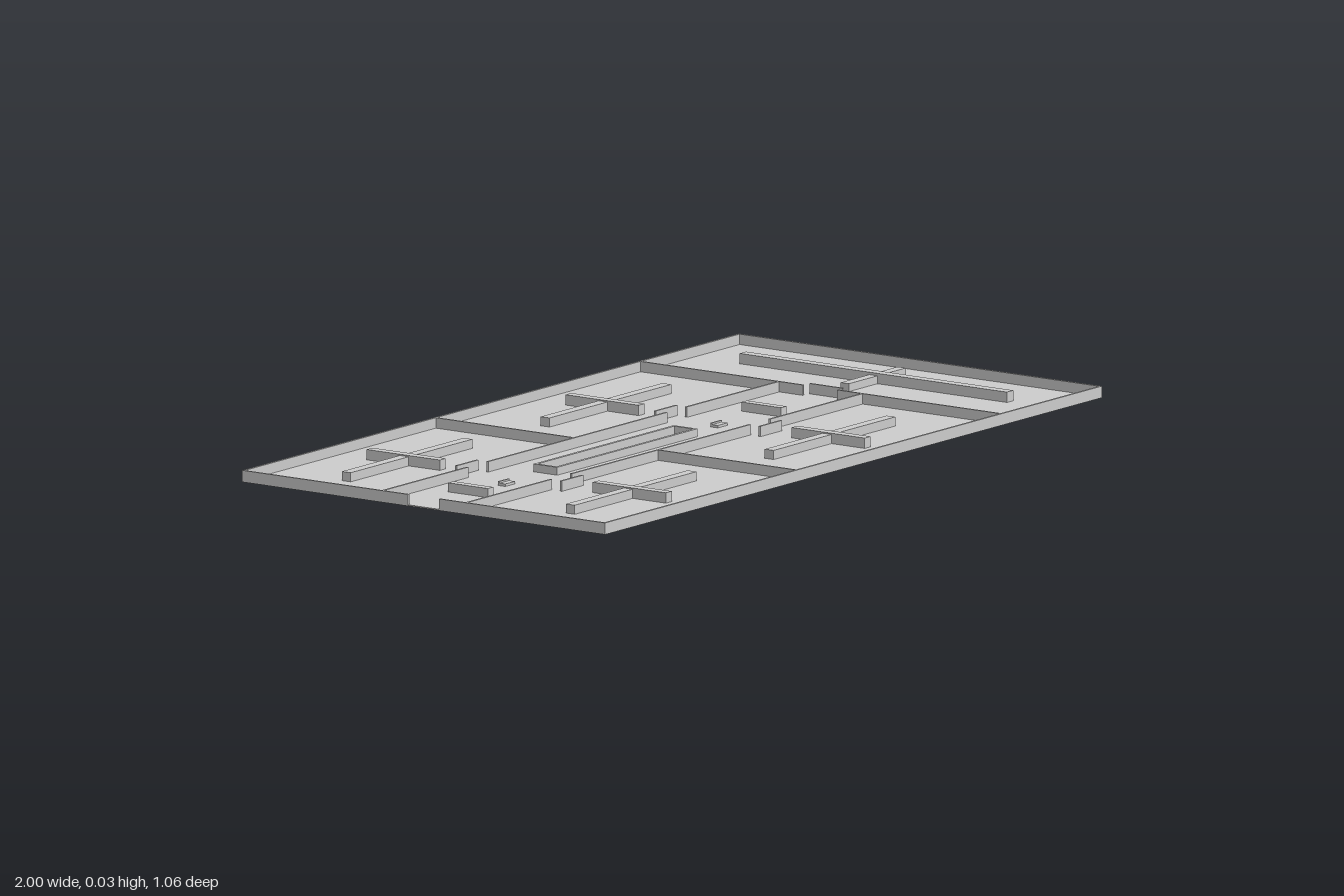
import * as THREE from 'three';

const H = 0.028;      // full wall height
const FLOOR = 0.003;  // slab thickness
const T = 0.006;      // wall thickness

export function createModel() {
  const model = new THREE.Group();
  const material = new THREE.MeshStandardMaterial({ color: 0xcccccc, flatShading: true });

  // Box given by its x and z ranges, rising from the floor slab
  function block(name, x0, x1, z0, z1, top = H, parent = model, bottom = FLOOR) {
    const geometry = new THREE.BoxGeometry(x1 - x0, top - bottom, z1 - z0);
    const mesh = new THREE.Mesh(geometry, material);
    mesh.position.set((x0 + x1) / 2, (top + bottom) / 2, (z0 + z1) / 2);
    mesh.name = name;
    parent.add(mesh);
    return mesh;
  }
  const wallX = (name, x0, x1, z) => block(name, x0, x1, z - T / 2, z + T / 2);
  const wallZ = (name, x, z0, z1) => block(name, x - T / 2, x + T / 2, z0, z1);

  block('floor', -1, 1, -0.53, 0.53, FLOOR, model, 0);

  // Outer walls, with an entrance at the end of the corridor
  for (const s of [-1, 1]) wallX('outerLongWall', -1, 1, s * (0.53 - T / 2));
  wallZ('outerEndWall', 1 - T / 2, -0.53, 0.53);
  wallZ('entranceWall', -1 + T / 2, -0.53, -0.045);
  wallZ('entranceWall', -1 + T / 2, 0.045, 0.53);

  const doorX = [-0.615, 0.185];
  for (const s of [-1, 1]) {
    // Corridor walls broken by door openings
    const z = s * 0.122;
    wallX('corridorWall', -1, -0.655, z);
    wallX('corridorWall', -0.575, 0.145, z);
    wallX('corridorWall', 0.225, 0.6, z);

    // Room partitions
    const [a, b] = s > 0 ? [0.122, 0.53] : [-0.53, -0.122];
    wallZ('roomPartition', -0.225, a, b);
    const [c, d] = s > 0 ? [0.05, 0.53] : [-0.53, -0.05];
    wallZ('endRoomPartition', 0.598, c, d);

    for (const x of doorX) {
      // Screen set just inside each doorway
      wallX('doorScreen', x - 0.043, x + 0.043, s * 0.153);

      // Crossed benches in each room
      const cross = new THREE.Group();
      cross.name = 'crossedBenches';
      block('longBench', x - 0.245, x + 0.245, s * 0.327 - 0.013, s * 0.327 + 0.013, 0.025, cross);
      block('shortBench', x - 0.012, x + 0.012, s * 0.33 - 0.107, s * 0.33 + 0.107, H, cross);
      model.add(cross);
    }
  }

  // End room: screen and crossed benches
  wallZ('doorScreen', 0.622, -0.048, 0.048);
  block('endRoomLongBench', 0.81, 0.836, -0.39, 0.39, H);
  block('endRoomShortBench', 0.695, 0.925, -0.012, 0.012, 0.022);

  // Open trough in the middle of the corridor
  const trough = new THREE.Group();
  trough.name = 'trough';
  for (const z of [-0.031, 0.031]) block('troughSide', -0.51, 0.055, z - 0.004, z + 0.004, 0.022, trough);
  for (const x of [-0.506, 0.051]) block('troughEnd', x - 0.004, x + 0.004, -0.027, 0.027, 0.022, trough);
  model.add(trough);

  // Corridor counters and low stools
  for (const x of [-0.81, 0.37]) block('counter', x - 0.011, x + 0.011, -0.058, 0.058, 0.025);
  for (const x of [-0.67, 0.185]) {
    block('stoolSeat', x - 0.02, x + 0.02, -0.003, 0.014, 0.009);
    block('stoolBack', x - 0.02, x + 0.02, -0.008, -0.003, 0.013);
  }
  block('counterStep', -0.799, -0.785, 0, 0.014, 0.01);

  return model;
}
